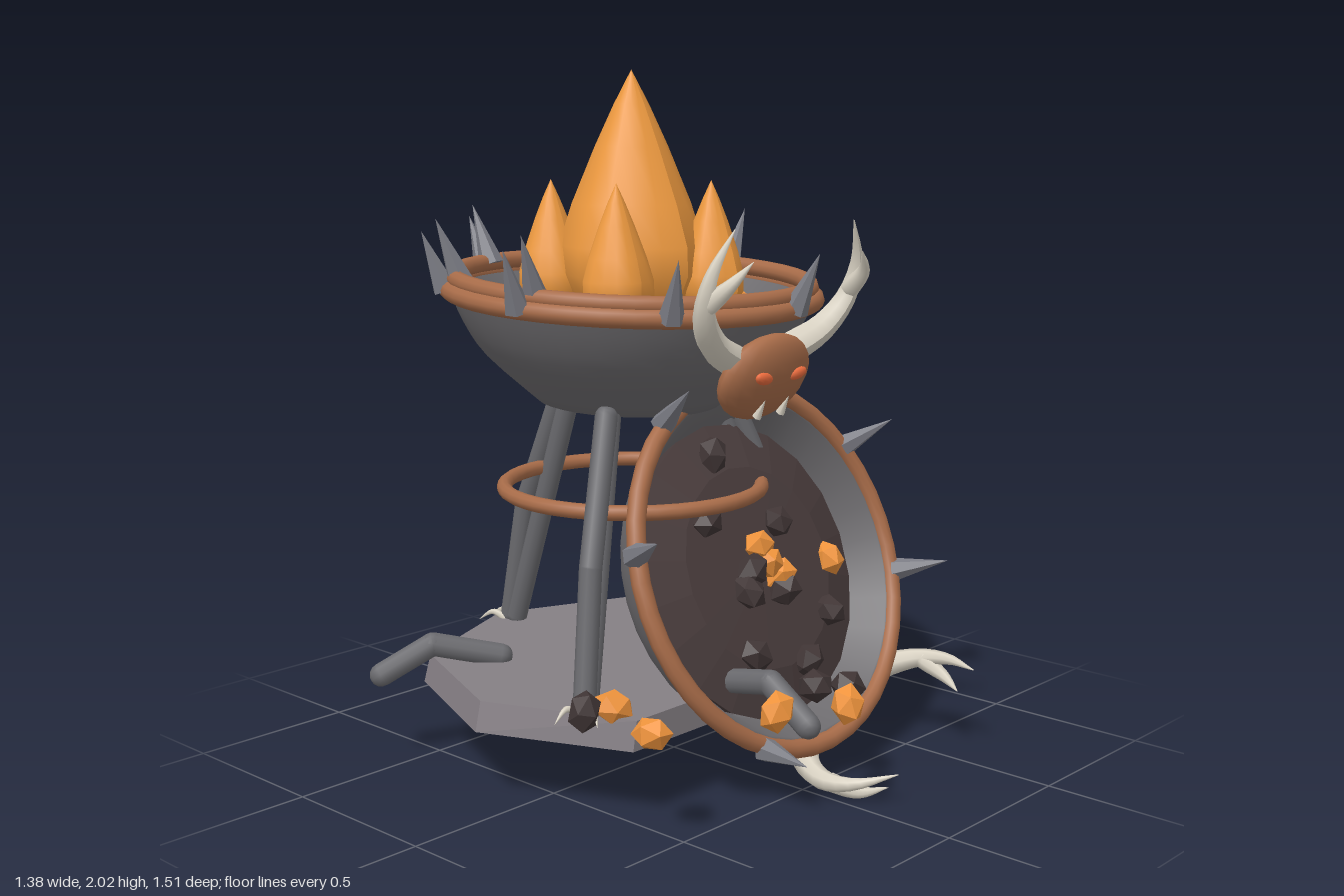
import * as THREE from 'three';

const V = (a) => new THREE.Vector3(...a);
const DEG = Math.PI / 180;
const mat = (color, flatShading = false, side = THREE.FrontSide) =>
  new THREE.MeshStandardMaterial({ color, flatShading, side });
const M = {
  bowl: mat(0x6e6c6f, false, THREE.DoubleSide), iron: mat(0x6a6a6e), plate: mat(0x857f84, true),
  spike: mat(0x7c7d85, true), rim: mat(0xa86c49), bone: mat(0xdad3c4), ash: mat(0x4a3d3d, true),
  coal: mat(0x403535, true), ember: mat(0xee933c, true), flame: mat(0xee9a40), eye: mat(0xec6c3e),
};

function add(parent, name, geometry, material, pos = [0, 0, 0]) {
  const mesh = new THREE.Mesh(geometry, material);
  mesh.name = name;
  mesh.position.set(...pos);
  parent.add(mesh);
  return mesh;
}

// Tube along a smooth path whose radius shrinks from r0 to a point
function taper(points, r0, sides = 7) {
  const curve = new THREE.CatmullRomCurve3(points.map(V));
  const n = 14, g = new THREE.TubeGeometry(curve, n, 1, sides);
  const p = g.attributes.position, v = new THREE.Vector3();
  for (let i = 0; i < p.count; i++) {
    const t = Math.floor(i / (sides + 1)) / n, c = curve.getPointAt(t);
    v.fromBufferAttribute(p, i).sub(c).multiplyScalar(r0 * (1.03 - t ** 1.5)).add(c);
    p.setXYZ(i, v.x, v.y, v.z);
  }
  g.computeVertexNormals();
  return g;
}

// Round-ended bar between two points
function bar(parent, name, a, b, r) {
  const A = V(a), B = V(b), d = B.clone().sub(A);
  const m = add(parent, name, new THREE.CapsuleGeometry(r, d.length(), 4, 10), M.iron);
  m.position.copy(A).lerp(B, 0.5);
  m.quaternion.setFromUnitVectors(V([0, 1, 0]), d.normalize());
}

function ring(parent, name, r, tube, y) {
  const m = add(parent, name, new THREE.TorusGeometry(r, tube, 10, 40), M.rim, [0, y, 0]);
  m.rotation.x = Math.PI / 2;
}

// Spikes around a rim, leaning outwards
function spikes(parent, angles, r, y, length) {
  for (const a of angles) {
    const holder = new THREE.Group();
    holder.name = 'rimSpike';
    holder.rotation.y = -a * DEG;
    const cone = new THREE.ConeGeometry(0.038, length, 6).translate(0, length / 2, 0);
    add(holder, 'spike', cone, M.spike, [r, y, 0]).rotation.z = -0.4;
    parent.add(holder);
  }
}

// Horned mask hanging on the outside of a bowl
function mask() {
  const g = new THREE.Group();
  g.name = 'hornedMask';
  const face = new THREE.Group();
  face.name = 'face';
  face.position.set(0, -0.175, 0.51);
  face.rotation.x = 0.35;
  add(face, 'head', new THREE.SphereGeometry(1, 18, 12), M.rim).scale.set(0.174, 0.13, 0.062);
  for (const s of [-1, 1]) {
    const eye = add(face, 'eye', new THREE.SphereGeometry(1, 10, 8), M.eye, [s * 0.07, 0.03, 0.053]);
    eye.scale.set(0.036, 0.018, 0.014);
    eye.rotation.z = s * 0.2;
    const fang = add(face, 'fang', new THREE.ConeGeometry(0.014, 0.06, 6), M.bone, [s * 0.05, -0.06, 0.062]);
    fang.rotation.x = 0.15;
    add(g, 'horn', taper([[s * 0.11, -0.12, 0.49], [s * 0.23, -0.06, 0.52], [s * 0.3, 0.03, 0.55],
      [s * 0.305, 0.13, 0.575], [s * 0.25, 0.25, 0.6]], 0.045), M.bone);
    add(g, 'hornTine', taper([[s * 0.3, 0.05, 0.56], [s * 0.28, 0.11, 0.62], [s * 0.23, 0.17, 0.65]],
      0.027), M.bone);
  }
  g.add(face);
  return g;
}

const vec2 = (list) => list.map(([x, y]) => new THREE.Vector2(x, y));

// Bowl with rim, domed ash bed, spikes and mask; the origin lies in the rim plane
function fireBowl(name, spikeAngles) {
  const g = new THREE.Group();
  g.name = name;
  const wall = new THREE.SplineCurve(vec2([[0.27, -0.32], [0.42, -0.19], [0.49, -0.09], [0.53, 0]])).getPoints(9);
  const profile = [...vec2([[0, -0.35], [0.15, -0.345]]), ...wall, ...vec2([[0.5, 0], [0.43, -0.13]])];
  add(g, 'bowlShell', new THREE.LatheGeometry(profile, 32), M.bowl);
  add(g, 'ashBed', new THREE.LatheGeometry(vec2([[0.42, -0.16], [0.44, -0.09], [0.3, -0.05], [0, -0.04]]), 20), M.ash);
  ring(g, 'rim', 0.532, 0.027, 0);
  spikes(g, spikeAngles, 0.54, 0, 0.18);
  g.add(mask());
  return g;
}

// Uneven teardrop flame ending at the tip height
function flame(parent, name, x, z, tip, height, radius) {
  const prof = vec2([[0.35, 0], [0.8, 0.1], [1, 0.22], [1, 0.33], [0.82, 0.49], [0.5, 0.71], [0.24, 0.87], [0, 1]]
    .map(([r, y]) => [r * radius, y * height]));
  const g = new THREE.LatheGeometry(prof, 16), p = g.attributes.position;
  for (let i = 0; i < p.count; i++) {
    const px = p.getX(i), py = p.getY(i), pz = p.getZ(i), a = Math.atan2(pz, px);
    const k = 1 + 0.07 * Math.sin(a * 5 + x * 9) * (1 - py / height);
    p.setXYZ(i, px * k, py, pz * k);
  }
  g.computeVertexNormals();
  add(parent, name, g, M.flame, [x, tip - height, z]);
}

// Irregular lump, turned differently each time
let count = 0;
function lump(parent, material, x, y, z) {
  const m = add(parent, material === M.coal ? 'coal' : 'ember', new THREE.IcosahedronGeometry(0.055), material, [x, y, z]);
  m.rotation.set(count * 1.3, count * 2.1, count * 0.7);
  m.scale.set(0.9, 1.12, 0.85);
  count++;
}

export function createModel() {
  const root = new THREE.Group();
  root.name = 'brazier';

  // Stand: octagonal plate flattened at the front, three double legs with claws, hoop and bent struts
  const stand = new THREE.Group();
  stand.name = 'stand';
  stand.position.set(-0.07, 0, -0.1);
  root.add(stand);
  const plate = new THREE.CylinderGeometry(0.61, 0.63, 0.085, 8), pp = plate.attributes.position;
  for (let i = 0; i < pp.count; i++) pp.setZ(i, Math.min(pp.getZ(i), 0.43));
  add(stand, 'basePlate', plate, M.plate, [0, 0.235, 0]);
  ring(stand, 'hoop', 0.38, 0.022, 0.795);
  for (let i = 0; i < 3; i++) {
    const leg = new THREE.Group();
    leg.name = 'leg';
    leg.rotation.y = (90 - i * 120) * DEG;
    bar(leg, 'innerBar', [0.26, 1.05, 0], [0.52, 0.29, 0], 0.032);
    bar(leg, 'upperOuterBar', [0.3, 1.05, 0], [0.475, 0.66, 0], 0.032);
    bar(leg, 'lowerOuterBar', [0.475, 0.66, 0], [0.55, 0.29, 0], 0.032);
    for (const s of [-1, 0, 1])
      add(leg, 'claw', taper([[0.55, 0.275, s * 0.02], [0.59, 0.295, s * 0.04], [0.635, 0.265, s * 0.06]],
        0.012, 6), M.bone);
    stand.add(leg);

    const strut = new THREE.Group();
    strut.name = 'strut';
    strut.rotation.y = (23 - i * 120) * DEG;
    bar(strut, 'strutArm', [0.4, 0.29, 0], [0.6, 0.335, 0], 0.036);
    bar(strut, 'strutTip', [0.6, 0.335, 0], [0.75, 0.25, 0], 0.036);
    stand.add(strut);
  }

  // Upper bowl with a second rim and spike ring
  const upper = fireBowl('upperBowl', [-10, -55, -100, -145, 170, 125, 80]);
  upper.position.set(-0.07, 1.37, -0.1);
  upper.rotation.x = 0.048;
  const band = new THREE.Group();
  band.name = 'upperBand';
  ring(band, 'innerRim', 0.515, 0.026, 0.034);
  spikes(band, [-7, -58, -103, -148, 167], 0.5, 0.03, 0.19);
  upper.add(band);
  root.add(upper);

  // Tipped lower bowl
  const lower = fireBowl('lowerBowl', [35, -10, -100, -145, 138]);
  lower.position.set(0.085, 0.595, 0.31);
  lower.rotation.set(69 * DEG, 22 * DEG, 0);
  root.add(lower);

  // Fire
  flame(root, 'mainFlame', -0.07, -0.1, 2, 0.74, 0.21);
  for (const [x, z] of [[-0.21, -0.29], [0.12, -0.24], [-0.265, 0.03], [0.06, 0.09]])
    flame(root, 'smallFlame', x, z, 1.69, 0.4, 0.099);

  // Lumps in the upper bowl
  for (const [x, z] of [[0, -0.41], [-0.11, 0.21], [0.1, 0.2]]) lump(root, M.coal, x, 1.32, z);
  for (const z of [0.03, 0.06]) lump(root, M.ember, 0.21, 1.32, z);

  // Lumps resting on the tilted, domed ash bed
  const onBed = (m, x, y) => {
    const dome = 0.05 * (1 - ((x - 0.085) ** 2 + (y - 0.57) ** 2) / 0.19);
    lump(root, m, x, y, 0.245 - (y - 0.56) * 0.385 + dome);
  };
  for (const [x, y] of [[0.02, 0.9], [-0.09, 0.735], [0.19, 0.69], [0.32, 0.41], [-0.01, 0.53],
    [0.13, 0.51], [0.02, 0.58], [-0.04, 0.36], [0.17, 0.3]]) onBed(M.coal, x, y);
  for (const [x, y] of [[0.39, 0.55], [0.08, 0.64], [0.1, 0.59], [0.13, 0.55]]) onBed(M.ember, x, y);

  // Spilled lumps
  for (const [x, z] of [[-0.59, 0.47], [-0.24, 0.6], [-0.06, 0.7], [-0.51, 0.25]])
    lump(root, M.ember, x, 0.3, z);
  for (const [x, z] of [[-0.59, 0.22], [0, 0.54], [0.06, 0.61]]) lump(root, M.coal, x, 0.3, z);
  return root;
}
